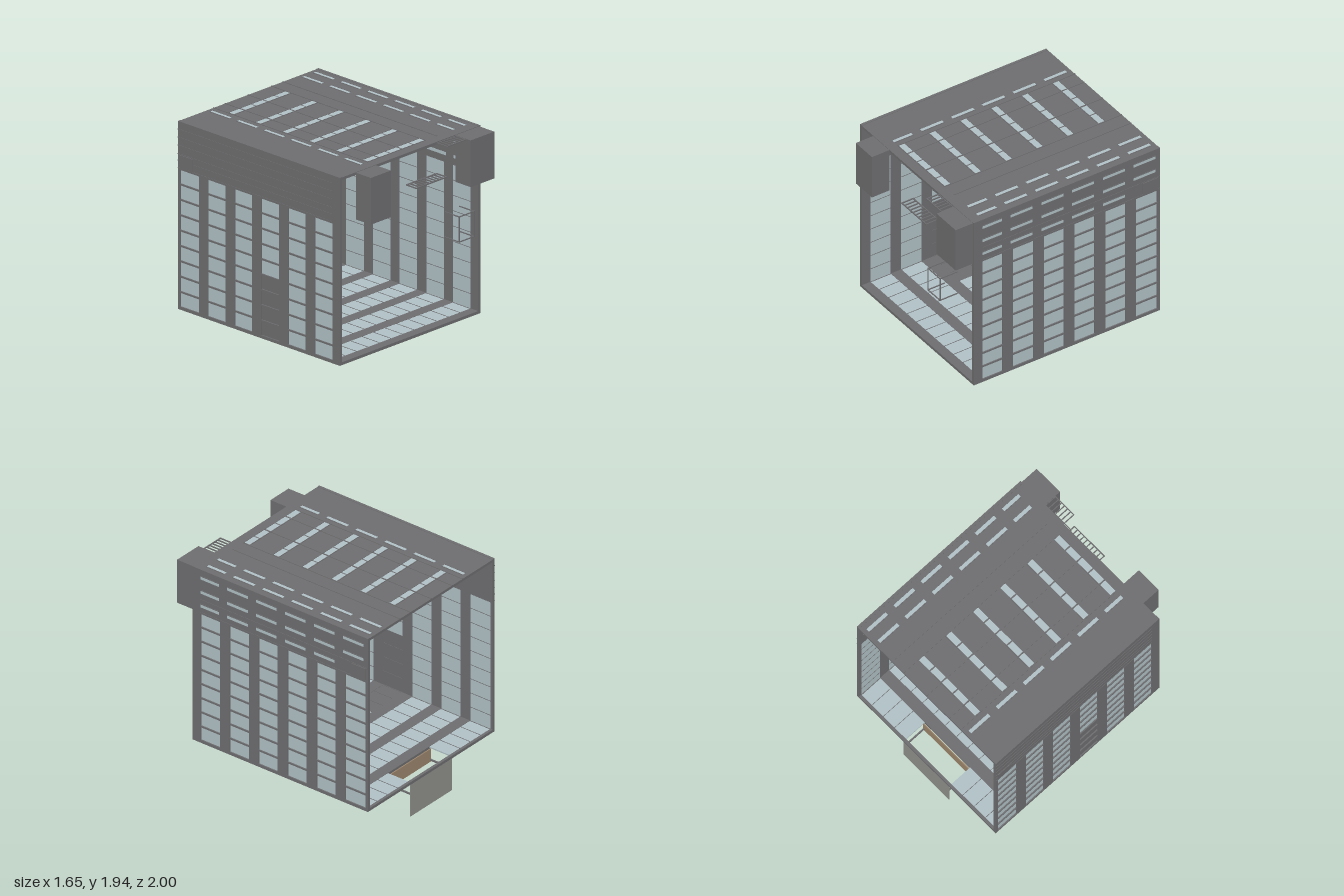
import * as THREE from 'three';

const mat = (name, hex) => {
  const m = new THREE.MeshStandardMaterial({ color: hex });
  m.name = name;
  return m;
};

export function createModel() {
  const model = new THREE.Group();
  model.name = 'windowedHull';
  const grey = mat('hull grey', 0x6e6e70);
  const glass = mat('pale glass', 0xb0c1c6);
  const tan = mat('tan panel', 0x9c866c);
  const stone = mat('sign grey', 0x90918b);

  // Box from its limits, in any order
  const box = (parent, name, m, x0, x1, y0, y1, z0, z1) => {
    const g = new THREE.BoxGeometry(Math.abs(x1 - x0), Math.abs(y1 - y0), Math.abs(z1 - z0));
    const mesh = new THREE.Mesh(g, m);
    mesh.position.set((x0 + x1) / 2, (y0 + y1) / 2, (z0 + z1) / 2);
    mesh.name = name;
    parent.add(mesh);
  };
  const group = (name) => {
    const g = new THREE.Group();
    g.name = name;
    model.add(g);
    return g;
  };

  const Z0 = -1, Z1 = 0.83, PITCH = 0.302, ROW = 0.134;
  // Six window columns along the length
  const columns = Array.from({ length: 6 }, (_, i) => [0.745 - i * PITCH - 0.2, 0.745 - i * PITCH]);
  columns[5][0] = -0.975;

  // Wall of glass strips: put(name, material, u0, u1, v0, v1, z0, z1), with v the depth outward
  function windowWall(put, u0, u1, first, rows, blank, skip = () => false) {
    let front = Z1;
    for (const [a, b] of columns) {
      put('pier', grey, u0, u1, 0, 0.025, b, front);
      front = a;
    }
    put('pier', grey, u0, u1, 0, 0.025, Z0, front);
    columns.forEach(([a, b], c) => {
      for (let r = 0; r < rows; r++) {
        const s = first + r * ROW;
        if (skip(c, r)) continue;
        put('windowPane', blank(c, r) ? grey : glass, s - 0.008, s + ROW - 0.008, 0.002, 0.014, a, b);
      }
    });
    // Outer ledges and fine inner joints
    for (let r = 0; r <= rows; r++) {
      const s = first + r * ROW - 0.007;
      columns.forEach(([a, b], c) => {
        if (skip(c, r) || (r > 0 && skip(c, r - 1))) return;
        put('ledge', grey, s - 0.007, s + 0.007, 0.012, 0.025, a, b);
        put('joint', grey, s - 0.002, s + 0.002, -0.001, 0.004, a, b);
      });
    }
  }

  // Side walls
  for (const s of [1, -1]) {
    const wall = group(s > 0 ? 'leftWall' : 'rightWall');
    const put = (name, m, u0, u1, v0, v1, z0, z1) =>
      box(wall, name, m, s * (0.795 + v0), s * (0.795 + v1), u0, u1, z0, z1);
    windowWall(put, 0.3, 1.53, 0.327, 9, (c, r) => s < 0 && c === 2 && r < 4);
    put('upperBand', grey, 1.525, 1.94, 0, 0.025, Z0, Z1);
    put('accessPanel', grey, 1.54, 1.65, 0.02, 0.031, -0.98, -0.83);
    const lines = s > 0 ? [1.535, 1.657] : [1.535, 1.6, 1.657, 1.73, 1.8, 1.87];
    for (const y of lines) put('bandRib', grey, y - 0.003, y + 0.003, 0.02, 0.028, Z0, 0.745);
    // Narrow slit windows on one side only
    if (s > 0) {
      [1.598, 1.728, 1.862].forEach((y, row) => columns.forEach(([a, b], c) => {
        if (row === 0 && c === 5) return;
        const lo = Math.max(a, b - 0.2) + 0.01;
        const hi = b - (c === 0 ? 0 : -0.025);
        put('slitWindow', glass, y - 0.014, y + 0.014, -0.001, 0.0265, lo, hi);
        for (const e of [-0.017, 0.017])
          put('slitFrame', grey, y + e - 0.003, y + e + 0.003, 0.02, 0.029, lo, hi);
      }));
    }
  }

  // Floor, with a hatch at the back
  const floor = group('floor');
  const putFloor = (name, m, u0, u1, v0, v1, z0, z1) =>
    box(floor, name, m, u0, u1, 0.325 - v0, 0.325 - v1, z0, z1);
  windowWall(putFloor, -0.82, 0.82, -0.797, 12,
    (c, r) => c === 2 && r < 3,
    (c, r) => c === 5 && r >= 4 && r <= 7);
  for (const s of [1, -1]) putFloor('floorEdge', grey, s * 0.79, s * 0.82, 0, 0.025, Z0, Z1);

  // Roof with window rows and long slits
  const roof = group('roof');
  box(roof, 'roofPlate', grey, -0.82, 0.82, 1.913, 1.937, Z0, Z1);
  for (let i = 0; i < 6; i++) {
    const z = 0.71 - i * 0.303;
    for (let k = 0; k < 5; k++) {
      const x = -0.338 + k * 0.135;
      box(roof, 'roofWindow', glass, x - 0.061, x + 0.061, 1.912, 1.9385, z - 0.028, z + 0.028);
    }
    const top = Math.min(0.74, 0.76 - i * 0.303 + 0.01);
    for (const x of [-0.473, 0.603, 0.735]) {
      box(roof, 'roofSlit', glass, x - 0.016, x + 0.016, 1.912, 1.9385, 0.555 - i * 0.303, top);
      for (const e of [-0.019, 0.019])
        box(roof, 'roofSlitFrame', grey, x + e - 0.003, x + e + 0.003, 1.93, 1.941, 0.555 - i * 0.303, top);
    }
    for (const e of [-0.032, 0.032])
      box(roof, 'crossRib', grey, -0.4, 0.27, 1.93, 1.941, z + e - 0.003, z + e + 0.003);
  }
  for (const x of [-0.405, -0.27, -0.003, 0.27, 0.405])
    box(roof, 'longRib', grey, x - 0.004, x + 0.004, 1.93, 1.942, Z0, 0.745);

  // Two boxes hung on the front
  box(model, 'frontBoxRight', grey, -0.633, -0.4, 1.525, 1.933, Z1, 1);
  box(model, 'frontBoxLeft', grey, 0.533, 0.808, 1.525, 1.933, Z1, 1);

  // Slatted grilles
  for (const [x0, x1, y] of [[-0.05, 0.31, 1.663], [0.31, 0.533, 1.925]]) {
    const grille = group('grille');
    for (const z of [0.835, 0.947])
      box(grille, 'rail', grey, x0, x1, y - 0.005, y + 0.005, z - 0.004, z + 0.004);
    const n = Math.round((x1 - x0) / 0.04);
    for (let i = 0; i <= n; i++) {
      const x = x0 + 0.004 + (x1 - x0 - 0.008) * i / n;
      box(grille, 'slat', grey, x - 0.004, x + 0.004, y - 0.005, y + 0.005, 0.835, 0.95);
    }
  }

  // Thin open frame with four arms
  const frame = group('openFrame');
  for (const x of [0.403, 0.577]) {
    box(frame, 'upright', grey, x - 0.004, x + 0.004, 1.078, 1.305, 0.992, 1);
    for (const y of [1.082, 1.301])
      box(frame, 'arm', grey, x - 0.004, x + 0.004, y - 0.004, y + 0.004, Z1, 1);
  }
  for (const y of [1.082, 1.301])
    box(frame, 'crossbar', grey, 0.399, 0.581, y - 0.004, y + 0.004, 0.992, 1);

  // Hanging sign board, tan panel and the struts between them
  box(model, 'signBoard', stone, -0.27, 0.27, 0, 0.3, -1, -0.995);
  box(model, 'tanPanel', tan, -0.27, 0.27, 0.19, 0.31, -0.782, -0.772);
  for (const s of [1, -1])
    box(model, 'strut', grey, s * 0.255, s * 0.268, 0.203, 0.216, -0.995, -0.782);

  return model;
}
